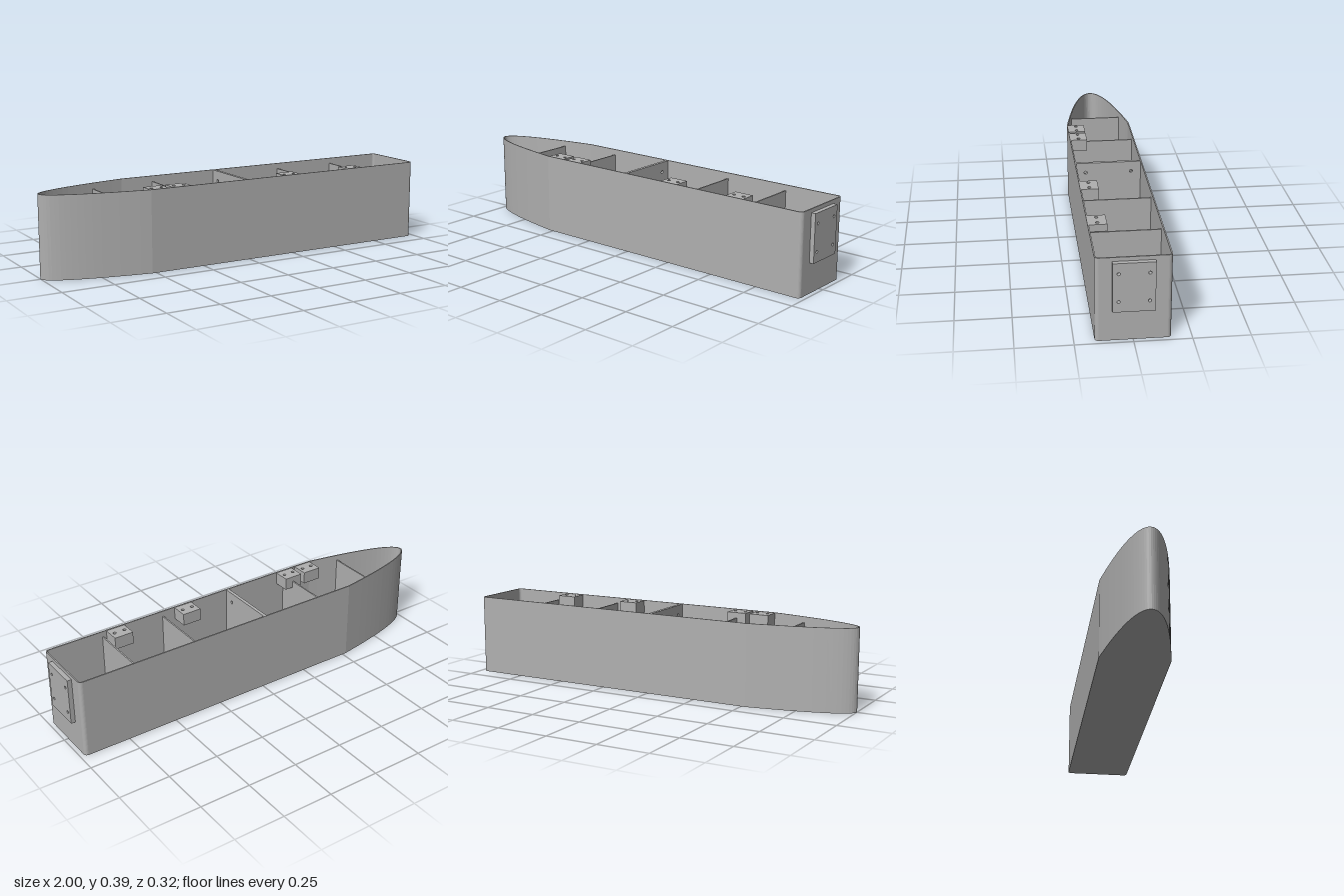
import * as THREE from 'three';

const HEIGHT = 0.39, HALF = 0.162, BOW = -1, SHOULDER = -0.52, STERN = 0.979, WALL = 0.006, FLOOR = 0.006;

// Half width of the hull at x: parabolic bow, then parallel sides
const halfWidth = (x) => HALF * Math.sqrt(Math.min(1, Math.max(0, (x - BOW) / (SHOULDER - BOW))));

// Plan outline of the hull, moved inwards by inset
function outline(path, inset) {
  const w = HALF - inset, bow = BOW + inset, stern = STERN - inset, r = 0.018 - inset, n = 18;
  for (let i = -n; i <= n; i++) {
    const t = i / n;
    const x = bow + (SHOULDER - bow) * t * t;
    if (i === -n) path.moveTo(x, w); else path.lineTo(x, -w * t);
  }
  path.lineTo(stern - r, -w);
  path.absarc(stern - r, -w + r, r, -Math.PI / 2, 0, false);
  path.lineTo(stern, w - r);
  path.absarc(stern - r, w - r, r, 0, Math.PI / 2, false);
  path.closePath();
  return path;
}

// Rectangular slab centred on x and y, with round holes [x, y], extruded along z
function drilled(w, h, depth, holes, radius) {
  const s = new THREE.Shape();
  s.moveTo(-w / 2, -h / 2);
  s.lineTo(w / 2, -h / 2);
  s.lineTo(w / 2, h / 2);
  s.lineTo(-w / 2, h / 2);
  s.closePath();
  for (const [x, y] of holes) s.holes.push(new THREE.Path().absarc(x, y, radius, 0, Math.PI * 2, true));
  return new THREE.ExtrudeGeometry(s, { depth, bevelEnabled: false, curveSegments: 8 });
}

export function createModel() {
  const group = new THREE.Group();
  const grey = new THREE.MeshStandardMaterial({ name: 'hull grey', color: 0xb0b0b0 });
  const add = (name, geometry, x = 0, y = 0, z = 0) => {
    const mesh = new THREE.Mesh(geometry, grey);
    mesh.name = name;
    mesh.position.set(x, y, z);
    group.add(mesh);
  };
  const upright = (shape, depth) =>
    new THREE.ExtrudeGeometry(shape, { depth, bevelEnabled: false, curveSegments: 6 }).rotateX(-Math.PI / 2);

  // Bottom plate and thin side walls
  add('hullBottom', upright(outline(new THREE.Shape(), 0), FLOOR));
  const ring = outline(new THREE.Shape(), 0);
  ring.holes.push(outline(new THREE.Path(), WALL));
  add('hullWall', upright(ring, HEIGHT - FLOOR), 0, FLOOR, 0);

  // Low cross walls
  const low = 0.362;
  for (const x of [-0.68, -0.355, 0.36, 0.685]) {
    const width = 2 * (halfWidth(x) - WALL / 2);
    add('bulkhead', new THREE.BoxGeometry(0.007, low - FLOOR, width), x, (low + FLOOR) / 2, 0);
  }

  // Thicker, full-height middle wall with two cable holes
  const midHeight = HEIGHT - FLOOR - 0.001;
  const midY = FLOOR + midHeight / 2;
  add('middleBulkhead',
    drilled(2 * HALF - WALL, midHeight, 0.016, [[-0.11, 0.34 - midY], [0.11, 0.34 - midY]], 0.008).rotateY(Math.PI / 2),
    -0.02, midY, 0);

  // Mounting blocks along the +z wall
  for (const x of [-0.472, -0.357, 0.248, 0.619]) {
    add('mountingBlock',
      drilled(0.095, 0.083, 0.06, [[-0.026, 0], [0.026, 0]], 0.008).rotateX(-Math.PI / 2),
      x, HEIGHT - 0.062, 0.1175);
  }

  // Transom plate with four bolt holes
  const bolts = [[-0.065, -0.065], [0.065, -0.065], [-0.065, 0.065], [0.065, 0.065]];
  add('transomPlate', drilled(0.18, 0.227, 0.021, bolts, 0.007).rotateY(Math.PI / 2), STERN, 0.2585, 0);

  return group;
}
